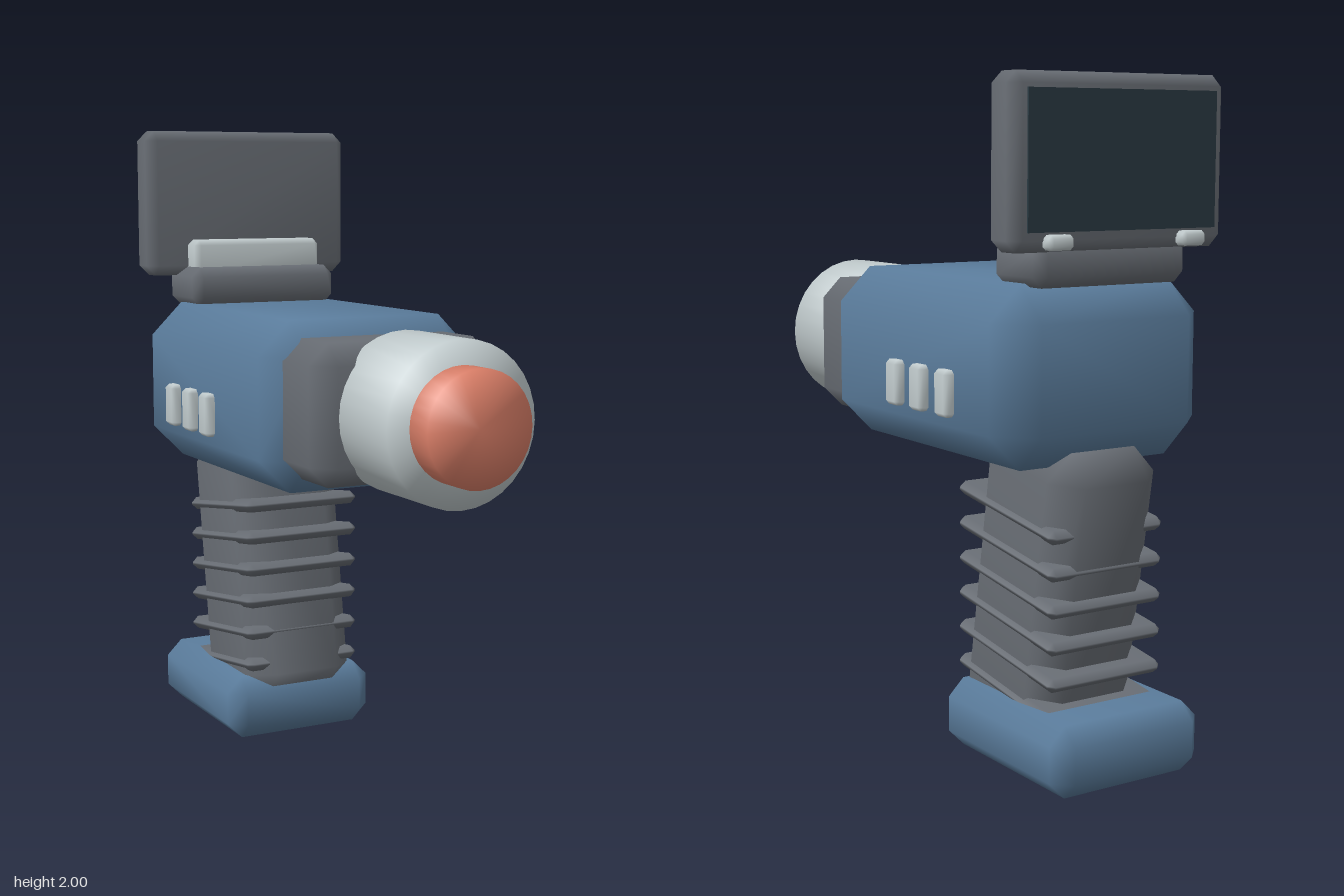
import * as THREE from 'three';
import { mergeVertices } from 'three/addons/utils/BufferGeometryUtils.js';
import { ConvexGeometry } from 'three/addons/geometries/ConvexGeometry.js';

const mat = (name, color) => {
  const m = new THREE.MeshStandardMaterial({ color });
  m.name = name;
  return m;
};

// Weld all corners so shading flows softly over the chamfers
function soften(geometry) {
  geometry.deleteAttribute('normal');
  geometry.deleteAttribute('uv');
  const g = mergeVertices(geometry, 1e-4);
  g.computeVertexNormals();
  return g;
}

// Box with 45 degree chamfers of size b
function chamferBox(w, h, d, b) {
  const points = [];
  for (const x of [-w / 2, w / 2]) for (const y of [-h / 2, h / 2]) for (const z of [-d / 2, d / 2]) {
    const ix = x - Math.sign(x) * b, iy = y - Math.sign(y) * b, iz = z - Math.sign(z) * b;
    points.push(new THREE.Vector3(x, iy, iz), new THREE.Vector3(ix, y, iz), new THREE.Vector3(ix, iy, z));
  }
  return soften(new ConvexGeometry(points));
}

export function createModel() {
  const model = new THREE.Group();
  model.name = 'handheldScanner';
  const blue = mat('blueShell', 0x5b7d9d);
  const dark = mat('darkGrey', 0x696e75);
  const light = mat('lightGrey', 0xc3cdcf);
  const coral = mat('coralLens', 0xdd8069);
  const glass = mat('darkScreen', 0x2b3b43);

  function add(name, geometry, material, x, y, z, tilt = 0) {
    const mesh = new THREE.Mesh(geometry, material);
    mesh.name = name;
    mesh.position.set(x, y, z);
    mesh.rotation.x = tilt;
    model.add(mesh);
    return mesh;
  }

  // Body and front collar
  add('body', chamferBox(0.72, 0.52, 1.05, 0.105), blue, 0, 1.17, -0.22);
  add('collar', chamferBox(0.61, 0.42, 0.36, 0.063), dark, 0, 1.17, 0.305);

  // Barrel and lens, pointing forward
  const drum = (r, length) => soften(new THREE.CylinderGeometry(r, r, length, 32)).rotateX(Math.PI / 2);
  add('barrel', drum(0.24, 0.32), light, 0, 1.17, 0.6);
  add('lens', drum(0.168, 0.15), coral, 0, 1.17, 0.78);

  // Leaning grip with ribs and foot
  add('grip', chamferBox(0.38, 0.88, 0.445, 0.08), dark, 0, 0.54, -0.477, -0.16);
  const ribGeometry = chamferBox(0.4, 0.042, 0.5, 0.018);
  for (let i = 0; i < 6; i++) add('gripRib', ribGeometry, dark, 0, 0.755 - i * 0.107, -0.47, -0.145);
  add('base', chamferBox(0.52, 0.21, 0.63, 0.052), blue, 0, 0.105, -0.535);

  // Side buttons, three on each side
  const buttonGeometry = chamferBox(0.06, 0.135, 0.07, 0.012);
  for (const side of [-1, 1]) for (const z of [-0.155, -0.29, -0.43]) {
    add('sideButton', buttonGeometry, light, side * 0.36, 1.112, z);
  }

  // Display on its hinge
  add('hingeBase', chamferBox(0.52, 0.13, 0.235, 0.03), dark, 0, 1.485, -0.617);
  add('hingeBar', chamferBox(0.46, 0.13, 0.12, 0.018), light, 0, 1.575, -0.62);
  add('displayCase', chamferBox(0.735, 0.48, 0.133, 0.033), dark, 0, 1.76, -0.698);
  add('displayScreen', new THREE.BoxGeometry(0.64, 0.38, 0.008), glass, 0, 1.765, -0.766);
  for (const side of [-1, 1]) {
    add('displayButton', chamferBox(0.08, 0.042, 0.05, 0.01), light, side * 0.227, 1.548, -0.775);
  }
  return model;
}
